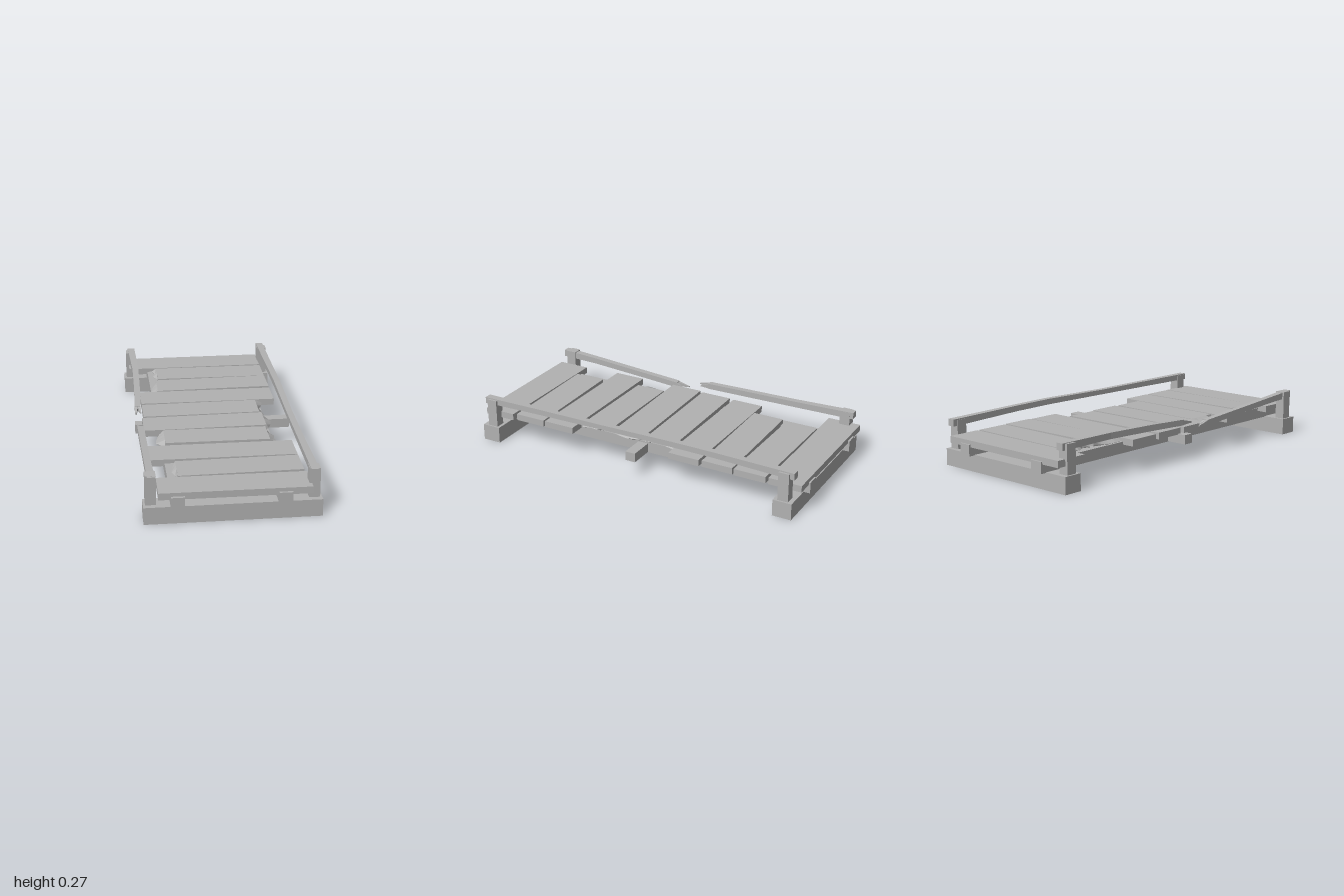
import * as THREE from 'three';

const wood = new THREE.MeshStandardMaterial({ color: 0xb2b2b2, flatShading: true });
wood.name = 'greyWood';

// Skin a row of rings (counter-clockwise seen from +z, ordered by rising z) and cap both ends.
function loft(rings) {
  const pos = [];
  const tri = (a, b, c) => pos.push(...a, ...b, ...c);
  const n = rings[0].length;
  const mid = (r) => [0, 1, 2].map((k) => r.reduce((s, p) => s + p[k], 0) / n);
  const first = rings[0], last = rings[rings.length - 1];
  const m0 = mid(first), m1 = mid(last);
  for (let j = 0; j < n; j++) {
    const k = (j + 1) % n;
    for (let i = 0; i < rings.length - 1; i++) {
      const a = rings[i], b = rings[i + 1];
      tri(a[j], a[k], b[k]);
      tri(a[j], b[k], b[j]);
    }
    tri(m0, first[k], first[j]);
    tri(m1, last[j], last[k]);
  }
  const g = new THREE.BufferGeometry();
  g.setAttribute('position', new THREE.Float32BufferAttribute(pos, 3));
  g.computeVertexNormals();
  return g;
}

// Plank across x; jl and jr list how far the splinters stick out at even steps along its width.
function plankGeometry({ z0, z1, xl, xr, y = 0.14, h = 0.037, jl = [0, 0], jr = [0, 0], skew = 0 }) {
  const at = (list, t) => {
    const f = t * (list.length - 1), i = Math.min(Math.floor(f), list.length - 2);
    return list[i] + (list[i + 1] - list[i]) * (f - i);
  };
  const rings = [];
  for (let s = 0; s <= 4; s++) {
    const t = s / 4, z = z0 + (z1 - z0) * t, a = z + skew, b = z - skew;
    rings.push([
      [xl, y, a], [xr, y, b], [xr + at(jr, t), y + h * 0.45, b],
      [xr, y + h, b], [xl, y + h, a], [xl - at(jl, t), y + h * 0.45, a],
    ]);
  }
  return loft(rings);
}

// Rail along z; each station is [z, x, y, half width, half height].
function railGeometry(stations) {
  return loft(stations.map(([z, x, y, w, h]) =>
    [[x - w, y - h, z], [x + w, y - h, z], [x + w, y + h, z], [x - w, y + h, z]]));
}

export function createModel() {
  const model = new THREE.Group();
  model.name = 'brokenFootbridge';
  const add = (name, geometry) => {
    const mesh = new THREE.Mesh(geometry, wood);
    mesh.name = name;
    model.add(mesh);
    return mesh;
  };
  const box = (name, x0, x1, y0, y1, z0, z1) =>
    add(name, new THREE.BoxGeometry(x1 - x0, y1 - y0, z1 - z0))
      .position.set((x0 + x1) / 2, (y0 + y1) / 2, (z0 + z1) / 2);

  // Ground beams, long bearers and the middle cross beam
  box('frontGroundBeam', -0.455, 0.455, 0.002, 0.095, 0.868, 0.975);
  box('backGroundBeam', -0.455, 0.455, 0.002, 0.095, -0.965, -0.858);
  box('rightBearer', -0.318, -0.248, 0.092, 0.155, -1, 1);
  box('leftBearer', 0.227, 0.297, 0.092, 0.155, -1, 1);
  box('middleCrossBeam', -0.44, 0.44, 0.094, 0.146, -0.03, 0.03);

  // Corner posts
  for (const sx of [-1, 1]) {
    box('frontPost', sx * 0.416 - 0.028, sx * 0.416 + 0.028, 0.09, 0.255, 0.885, 0.945);
    box('backPost', sx * 0.416 - 0.028, sx * 0.416 + 0.028, 0.09, 0.255, -0.94, -0.88);
  }

  // Deck planks from back to front, some snapped at an end
  const planks = [
    { z0: -0.99, z1: -0.802, xl: -0.43, xr: 0.39 },
    { z0: -0.79, z1: -0.605, xl: -0.265, xr: 0.39, jl: [0.03, 0.01, 0.025, 0, 0.015], skew: -0.004 },
    { z0: -0.588, z1: -0.408, xl: -0.28, xr: 0.39, y: 0.142, jl: [0, 0.012, 0.03, 0.035, 0.025], skew: 0.005 },
    { z0: -0.396, z1: -0.212, xl: -0.39, xr: 0.39, y: 0.139, skew: -0.003 },
    { z0: -0.194, z1: -0.012, xl: -0.39, xr: 0.275, y: 0.142, jr: [0.04, 0.03, 0.012, 0.02, 0.03], skew: 0.003 },
    { z0: 0.004, z1: 0.19, xl: -0.4, xr: 0.285, y: 0.143, jr: [0.005, 0.025, 0.038, 0.03, 0.015], skew: 0.005 },
    { z0: 0.203, z1: 0.38, xl: -0.295, xr: 0.275, y: 0.143, jl: [0.015, 0.035, 0.045, 0.05, 0.005],
      jr: [0.005, 0.015, 0.035, 0.03, 0.045], skew: -0.003 },
    { z0: 0.403, z1: 0.587, xl: -0.395, xr: 0.39, skew: -0.002 },
    { z0: 0.605, z1: 0.787, xl: -0.265, xr: 0.39, jl: [0, 0.02, 0.025, 0.01, 0], skew: 0.005 },
    { z0: 0.8, z1: 0.985, xl: -0.38, xr: 0.4, y: 0.138, skew: -0.002 },
  ];
  planks.forEach((p) => add('plank', plankGeometry(p)));

  // Whole rail, bowed slightly upward
  add('leftRail', railGeometry([
    [-0.965, 0.412, 0.242, 0.021, 0.019], [-0.5, 0.413, 0.252, 0.018, 0.016],
    [-0.25, 0.414, 0.254, 0.018, 0.016], [0.2, 0.41, 0.248, 0.017, 0.014],
    [0.6, 0.41, 0.246, 0.018, 0.016], [0.965, 0.412, 0.243, 0.021, 0.018],
  ]));

  // Snapped rail: the back half stays up, the front half sags to the deck
  add('rightRailBack', railGeometry([
    [-0.96, -0.41, 0.24, 0.021, 0.019], [-0.6, -0.402, 0.236, 0.018, 0.017],
    [-0.3, -0.41, 0.228, 0.017, 0.017], [-0.04, -0.421, 0.219, 0.017, 0.016],
  ]));
  add('rightRailFront', railGeometry([
    [0.17, -0.418, 0.183, 0.018, 0.016], [0.45, -0.417, 0.203, 0.018, 0.016],
    [0.75, -0.416, 0.224, 0.018, 0.017], [0.965, -0.412, 0.236, 0.021, 0.02],
  ]));

  // Splinters on the two broken rail ends
  for (const side of [-1, 1]) {
    add('railSplinter', railGeometry([
      [-0.045, -0.421 + side * 0.008, 0.219, 0.009, 0.014],
      [side > 0 ? 0.01 : 0.03, -0.421 + side * 0.014, 0.211, 0.003, 0.003],
    ]));
    add('railSplinter', railGeometry([
      [side > 0 ? 0.14 : 0.1, -0.418 + side * 0.014, 0.175, 0.003, 0.003],
      [0.175, -0.418 + side * 0.009, 0.183, 0.009, 0.014],
    ]));
  }
  return model;
}
